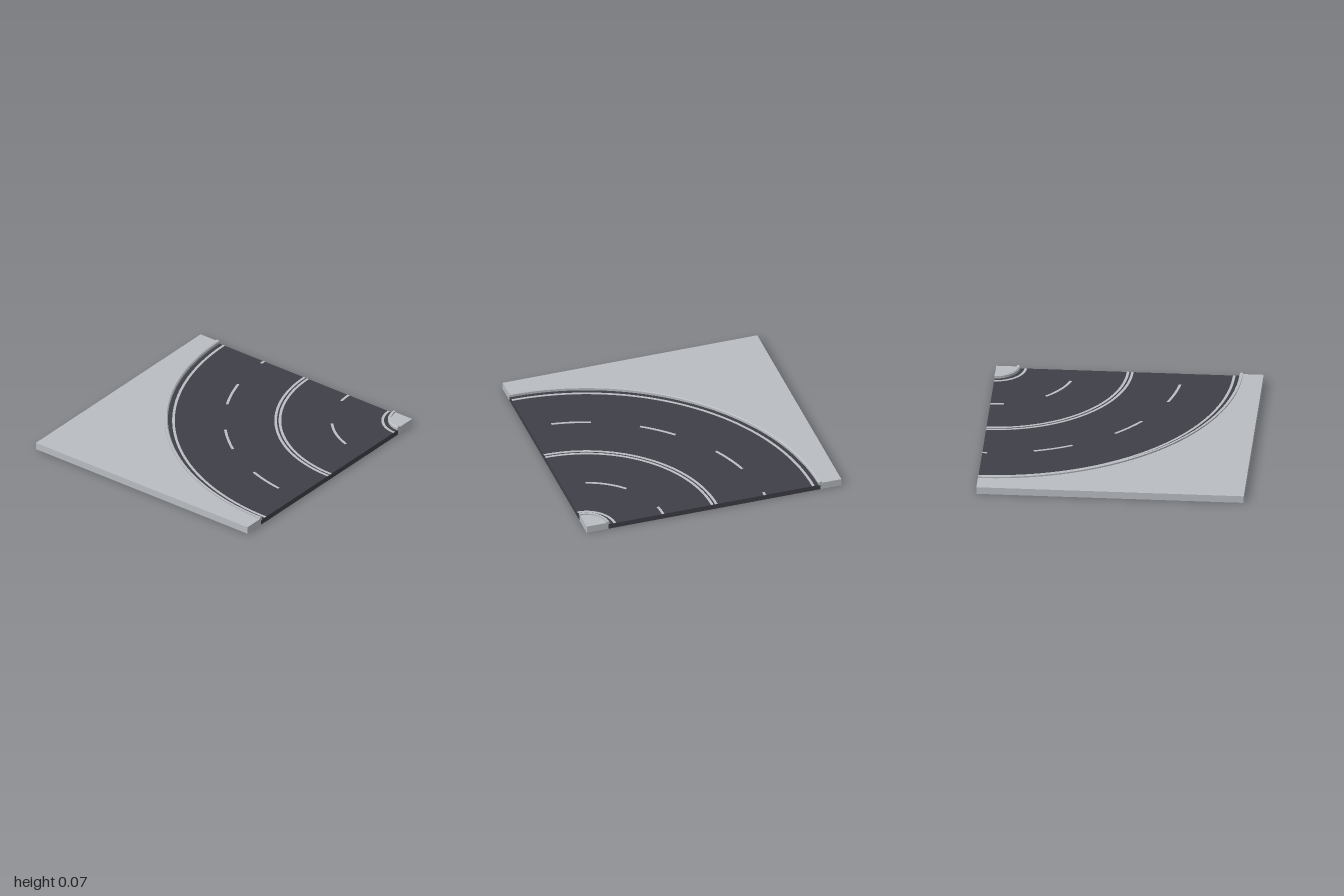
import * as THREE from 'three';
import { mergeGeometries, toCreasedNormals } from 'three/addons/utils/BufferGeometryUtils.js';

const material = (name, color) => {
  const m = new THREE.MeshStandardMaterial({ color });
  m.name = name;
  return m;
};

// Solid arc about the bend's centre; profile is [radius, y] counterclockwise,
// angles are degrees from the front edge (0) to the right edge (90).
function arcSolid(profile, from = 0, to = 90) {
  const start = Math.PI * 1.5 - THREE.MathUtils.degToRad(to);
  const end = Math.PI * 1.5 - THREE.MathUtils.degToRad(from);
  const pts = profile.map(([r, y]) => new THREE.Vector2(r, y));
  const segments = Math.max(4, Math.ceil((to - from) * 0.7));
  const body = new THREE.LatheGeometry([...pts, pts[0].clone()], segments, start, end - start);
  const cap = (sign, angle) => new THREE.ShapeGeometry(
    new THREE.Shape(profile.map(([r, y]) => new THREE.Vector2(sign * r, y)))
  ).rotateY(angle).toNonIndexed();
  return mergeGeometries([
    toCreasedNormals(body, 0.5),
    cap(1, start - Math.PI / 2),
    cap(-1, end + Math.PI / 2),
  ]);
}

const block = (r0, r1, y0, y1) => [[r0, y0], [r1, y0], [r1, y1], [r0, y1]];

export function createModel() {
  const asphalt = material('asphalt', 0x3f3f48);
  const concrete = material('concrete', 0xb9bdc1);
  const paint = material('road paint', 0xbdbdc4);

  const group = new THREE.Group();
  group.name = 'roadBend';
  const bend = new THREE.Group();
  bend.name = 'bend';
  bend.position.set(1, 0, 1);
  group.add(bend);

  const add = (parent, name, geometry, mat) => {
    const mesh = new THREE.Mesh(geometry, mat);
    mesh.name = name;
    parent.add(mesh);
  };

  const inner = 0.17, outer = 1.835, roadTop = 0.04, paveTop = 0.055, kerbTop = 0.066;

  // Road slab
  add(bend, 'road', arcSolid(block(inner, outer, 0, roadTop)), asphalt);

  // Outer pavement: square corner cut away by the bend
  const shape = new THREE.Shape();
  shape.moveTo(-1, -1);
  shape.lineTo(1 - outer, -1);
  shape.absarc(1, -1, outer, Math.PI, Math.PI / 2, true);
  shape.lineTo(1, 1);
  shape.lineTo(-1, 1);
  const slab = new THREE.ExtrudeGeometry(shape, { depth: paveTop, bevelEnabled: false, curveSegments: 64 });
  add(group, 'outerPavement', slab.rotateX(-Math.PI / 2), concrete);

  // Inner pavement corner
  add(bend, 'innerPavement', arcSolid(block(0, inner, 0, paveTop)), concrete);

  // Kerbs, bevelled on the road side
  add(bend, 'outerKerb', arcSolid([
    [1.822, 0.036], [1.847, 0.036], [1.847, kerbTop], [1.83, kerbTop], [1.822, 0.059],
  ]), concrete);
  add(bend, 'innerKerb', arcSolid([
    [0.155, 0.036], [0.18, 0.036], [0.18, 0.059], [0.172, kerbTop], [0.155, kerbTop],
  ]), concrete);

  // Painted lines and lane dashes: radius, then start and end angles
  const stripe = (name, r, from, to) =>
    add(bend, name, arcSolid(block(r - 0.01, r + 0.01, roadTop - 0.001, roadTop + 0.002), from, to), paint);
  stripe('outerEdgeLine', 1.78, 0, 90);
  stripe('innerEdgeLine', 0.22, 0, 90);
  stripe('centreLineOuter', 1.018, 0, 90);
  stripe('centreLineInner', 0.986, 0, 90);
  [[7.4, 19.6], [34.8, 46.5], [61.8, 74.2], [88.5, 90]].forEach(([a, b]) => stripe('outerLaneDash', 1.4, a, b));
  [[17.5, 47.7], [80.4, 90]].forEach(([a, b]) => stripe('innerLaneDash', 0.6, a, b));

  return group;
}
